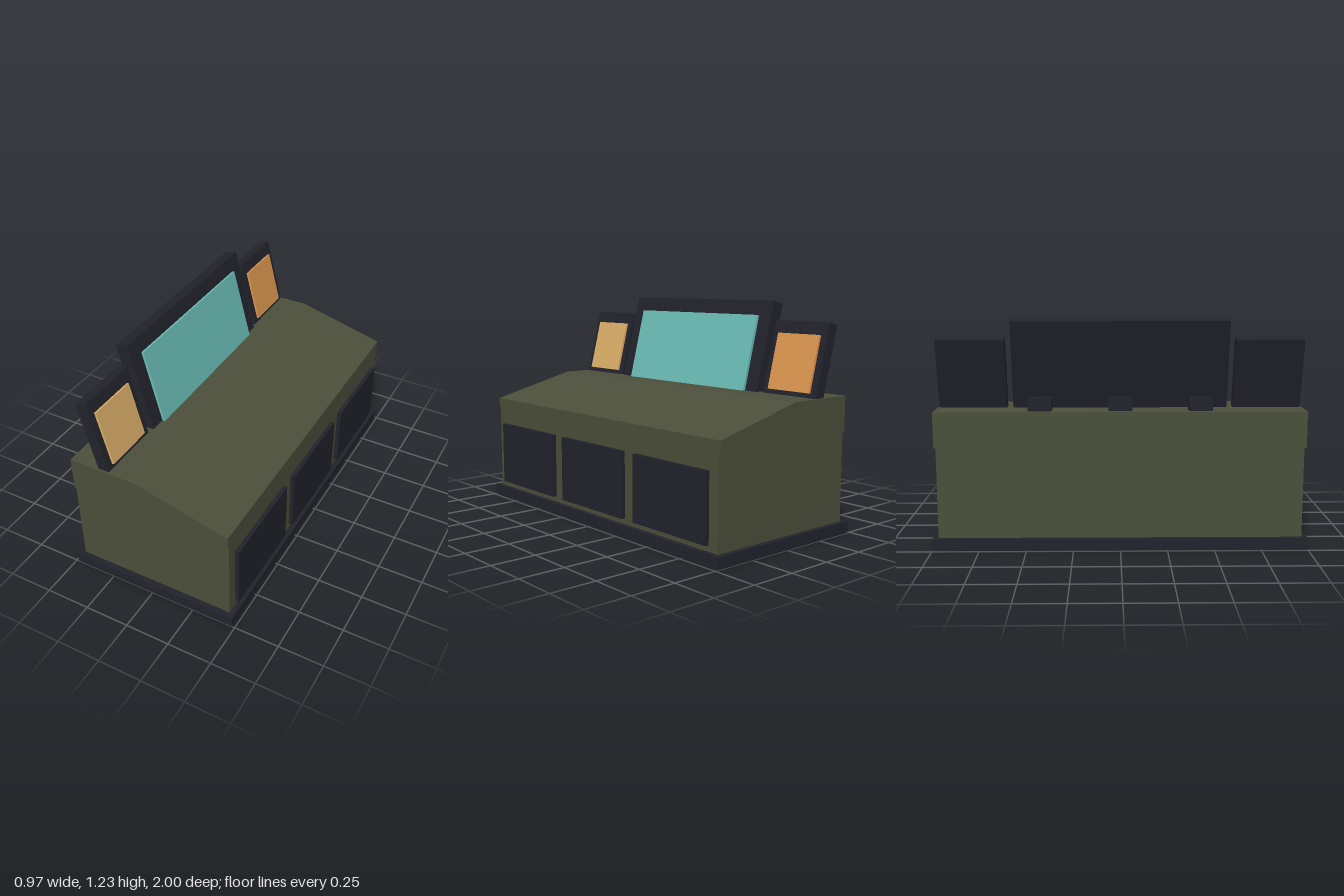
import * as THREE from 'three';

const mat = (name, color) => {
  const m = new THREE.MeshStandardMaterial({ color });
  m.name = name;
  return m;
};

export function createModel() {
  const olive = mat('olive casing', 0x4b4f3a);
  const dark = mat('dark trim', 0x22222c);
  const teal = mat('teal screen', 0x6abbb5);
  const sand = mat('sand screen', 0xd9ad68);
  const amber = mat('amber screen', 0xda954e);

  const model = new THREE.Group();
  model.name = 'controlConsole';

  // Box given by its min and max on each axis
  const box = (parent, name, material, [x0, x1], [y0, y1], [z0, z1]) => {
    const mesh = new THREE.Mesh(new THREE.BoxGeometry(x1 - x0, y1 - y0, z1 - z0), material);
    mesh.position.set((x0 + x1) / 2, (y0 + y1) / 2, (z0 + z1) / 2);
    mesh.name = name;
    parent.add(mesh);
    return mesh;
  };
  const span = (centre, width) => [centre - width / 2, centre + width / 2];

  // Plinth and cabinet
  box(model, 'plinth', dark, [-0.485, 0.485], [0, 0.062], [-1, 1]);
  box(model, 'cabinet', olive, [-0.455, 0.455], [0.03, 0.56], [-0.97, 0.97]);

  // Sloped desk top, slightly wider than the cabinet
  const profile = new THREE.Shape([
    [-0.455, 0.548], [0.455, 0.548], [0.455, 0.608], [-0.062, 0.74], [-0.455, 0.74],
  ].map(([x, y]) => new THREE.Vector2(x, y)));
  const deskGeometry = new THREE.ExtrudeGeometry(profile, { depth: 1.964, bevelEnabled: false });
  deskGeometry.translate(0, 0, -0.982);
  const desk = new THREE.Mesh(deskGeometry, olive);
  desk.name = 'slopedDesk';
  model.add(desk);

  // Three access panels on the long side and three blocks behind the screens
  for (const i of [-1, 0, 1]) {
    box(model, 'accessPanel', dark, [0.44, 0.478], [0.095, 0.457], span(i * 0.637, 0.545));
    box(model, 'rearBlock', dark, [-0.42, -0.335], [0.72, 0.805], span(i * 0.425, 0.125));
  }

  // Monitors lean back together
  const monitors = new THREE.Group();
  monitors.name = 'monitors';
  monitors.position.set(-0.29, 0.74, 0);
  monitors.rotation.z = 0.25;
  model.add(monitors);

  box(monitors, 'mainFrame', dark, [0, 0.072], [-0.05, 0.485], [-0.575, 0.575]);
  box(monitors, 'mainScreen', teal, [0.06, 0.087], [-0.04, 0.4], [-0.487, 0.487]);
  for (const [side, screen] of [[1, sand], [-1, amber]]) {
    box(monitors, 'sideFrame', dark, [0, 0.061], [-0.05, 0.382], span(side * 0.79, 0.362));
    box(monitors, 'sideScreen', screen, [0.05, 0.074], [0.008, 0.312], span(side * 0.79, 0.282));
  }

  return model;
}
